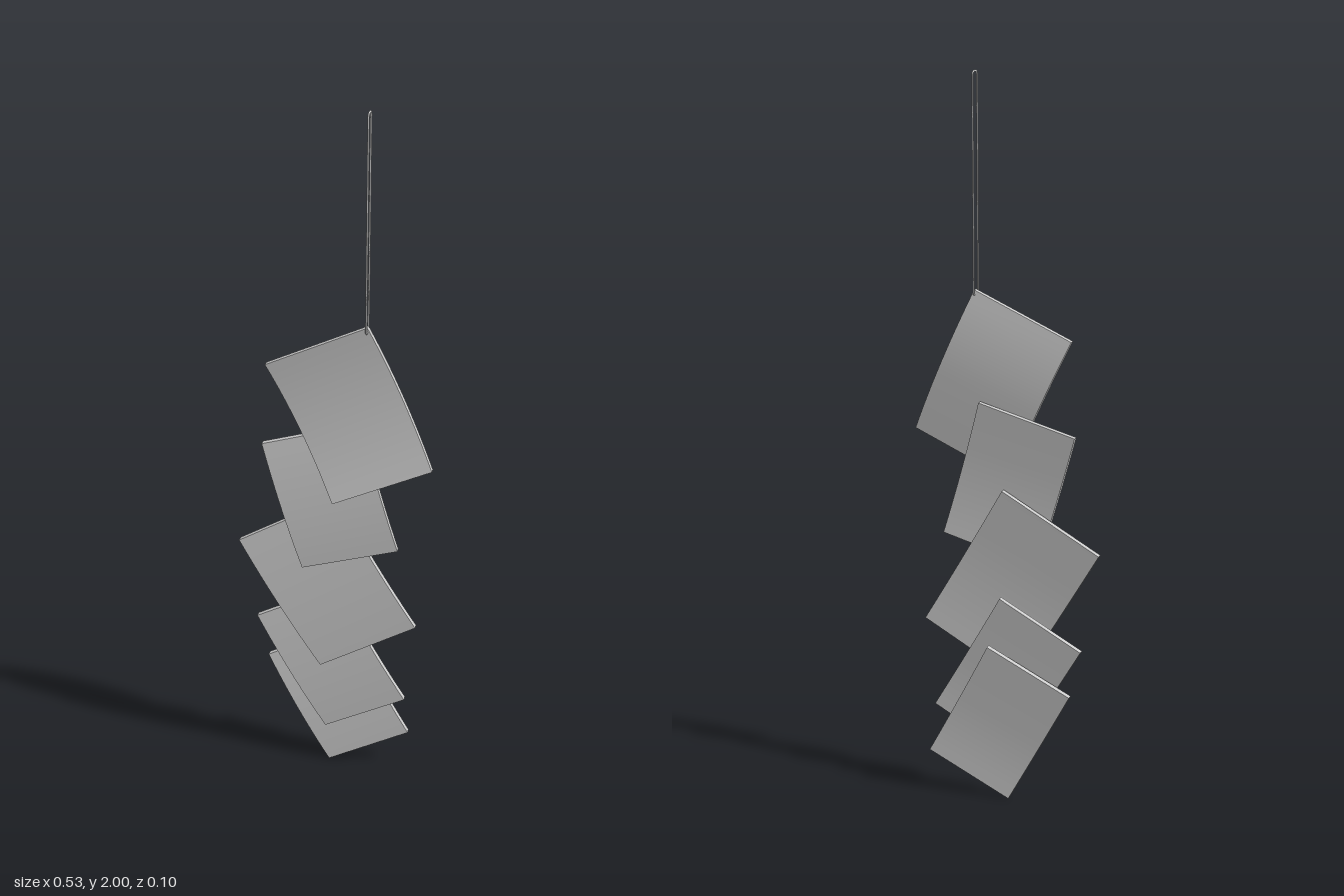
import * as THREE from 'three';

const material = new THREE.MeshStandardMaterial({ color: 0xcccccc });
const THICKNESS = 0.0145;

// Gently bowed rectangular plate spanned by three corners of its mid surface;
// bow is the depth offset halfway down its length (+ is forward).
function bowedPlate(left, top, bottom, bow) {
  const a = new THREE.Vector3(...left);
  const across = new THREE.Vector3(...top).sub(a);
  const down = new THREE.Vector3(...bottom).sub(a);
  const geometry = new THREE.BoxGeometry(1, 1, 1, 2, 12, 1);
  const pos = geometry.attributes.position;
  const p = new THREE.Vector3();
  for (let i = 0; i < pos.count; i++) {
    const u = pos.getX(i) + 0.5;
    const v = 0.5 - pos.getY(i);
    p.copy(a).addScaledVector(across, u).addScaledVector(down, v);
    p.z += 4 * v * (1 - v) * bow + pos.getZ(i) * THICKNESS;
    pos.setXYZ(i, p.x, p.y, p.z);
  }
  geometry.computeVertexNormals();
  return new THREE.Mesh(geometry, material);
}

// Closed wire loop in the y-z plane, with a rounded top
function wireLoop(x, zBack, zFront, yLow, yHigh) {
  const r = (zFront - zBack) / 2 * 0.8;
  const v = (z, y) => new THREE.Vector3(x, y, z);
  const path = new THREE.CurvePath();
  const line = (p, q) => path.add(new THREE.LineCurve3(p, q));
  const bend = (p, c, q) => path.add(new THREE.QuadraticBezierCurve3(p, c, q));
  const corner = 0.006;
  line(v(zBack, yLow + corner), v(zBack, yHigh - r));
  bend(v(zBack, yHigh - r), v(zBack, yHigh), v(zBack + r, yHigh));
  line(v(zBack + r, yHigh), v(zFront - r, yHigh));
  bend(v(zFront - r, yHigh), v(zFront, yHigh), v(zFront, yHigh - r));
  line(v(zFront, yHigh - r), v(zFront, yLow + corner));
  bend(v(zFront, yLow + corner), v(zFront, yLow), v(zFront - corner, yLow));
  line(v(zFront - corner, yLow), v(zBack + corner, yLow));
  bend(v(zBack + corner, yLow), v(zBack, yLow), v(zBack, yLow + corner));
  return new THREE.Mesh(new THREE.TubeGeometry(path, 400, 0.0025, 8, true), material);
}

export function createModel() {
  const group = new THREE.Group();
  group.name = 'hangingPlates';

  // Overlapping plates from top to bottom: left, top and bottom corners, bow
  const plates = [
    [[-0.172, 1.326, 0.037], [0.087, 1.447, 0.014], [0.003, 0.934, 0.041], -0.021],
    [[-0.193, 1.077, 0.013], [0.066, 1.153, -0.012], [-0.087, 0.7, 0.017], 0.01],
    [[-0.265, 0.76, 0.012], [0.0, 0.917, -0.013], [-0.04, 0.363, 0.006], 0.01],
    [[-0.228, 0.489, -0.017], [0.0, 0.615, -0.03], [-0.028, 0.135, -0.004], 0.01],
    [[-0.199, 0.352, -0.021], [0.03, 0.474, -0.046], [-0.019, 0.002, -0.012], 0.01],
  ];
  plates.forEach(([left, top, bottom, bow], i) => {
    const plate = bowedPlate(left, top, bottom, bow);
    plate.name = `plate${i + 1}`;
    group.add(plate);
  });

  // Hanging wire through the top corner of the first plate
  const wire = wireLoop(0.086, 0.002, 0.031, 1.434, 1.9975);
  wire.name = 'hangingWire';
  group.add(wire);

  return group;
}
